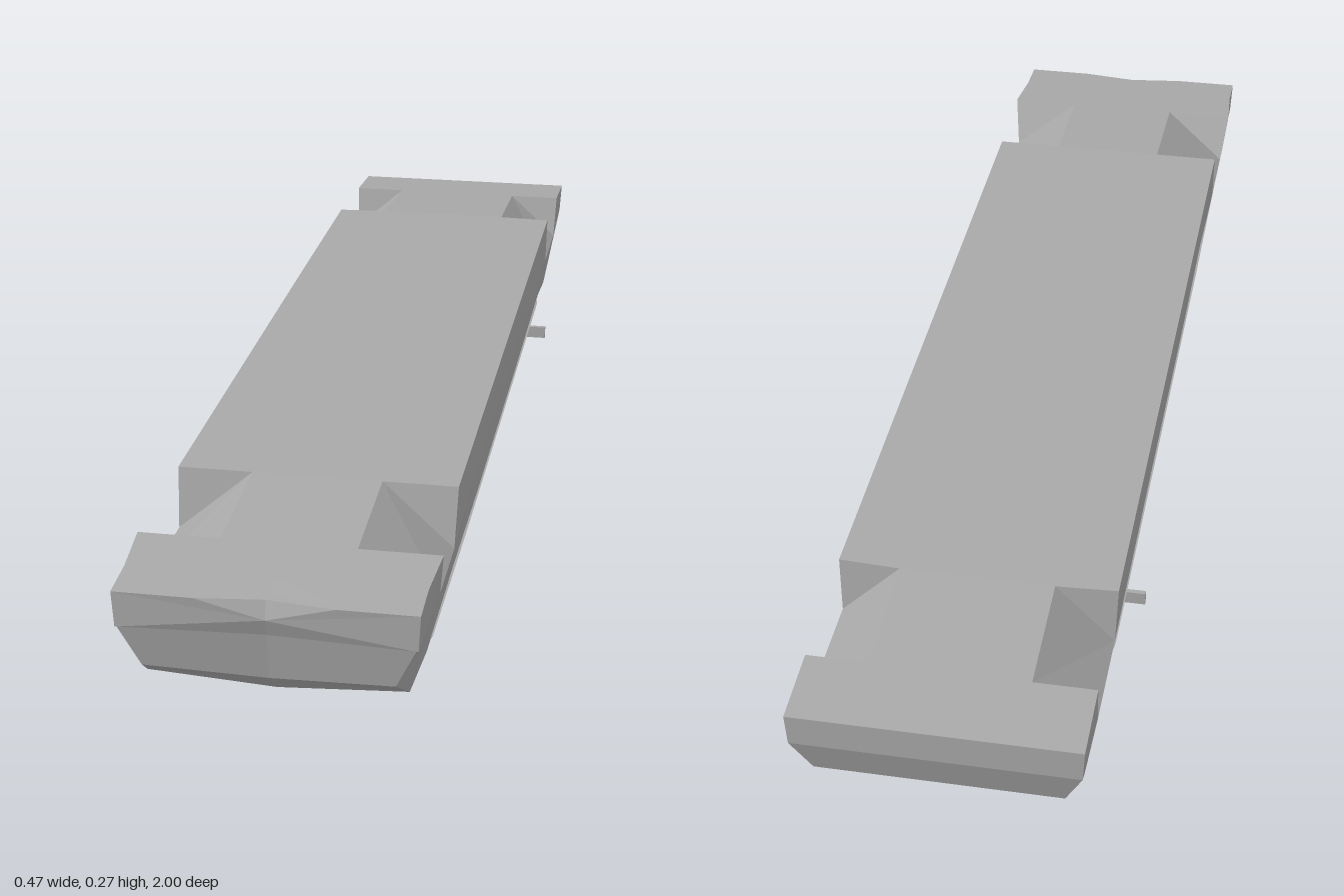
import * as THREE from 'three';

// Loft mirrored half profiles (bottom centre -> top centre), ordered from +z to -z
function loft(halves) {
  const rings = halves.map(half => [
    ...half,
    ...half.slice(1, -1).reverse().map(([x, y, z]) => [-x, y, z]),
  ].map(p => new THREE.Vector3(...p)));
  const n = rings[0].length;
  const pos = [];
  const tri = (a, b, c) => {
    const area = b.clone().sub(a).cross(c.clone().sub(a)).length();
    if (area > 1e-7) for (const p of [a, b, c]) pos.push(p.x, p.y, p.z);
  };
  for (let i = 0; i < rings.length - 1; i++) {
    const s = rings[i], t = rings[i + 1];
    for (let j = 0; j < n; j++) {
      const k = (j + 1) % n;
      // the diagonal is mirrored so both sides match
      if (j < n / 2) {
        tri(s[j], t[j], t[k]);
        tri(s[j], t[k], s[k]);
      } else {
        tri(s[j], t[j], s[k]);
        tri(s[k], t[j], t[k]);
      }
    }
  }
  const cap = (ring, flip) => {
    const c = new THREE.Vector3();
    ring.forEach(p => c.addScaledVector(p, 1 / n));
    ring.forEach((p, j) => {
      const q = ring[(j + 1) % n];
      if (flip) tri(c, q, p);
      else tri(c, p, q);
    });
  };
  cap(rings[0], false);
  cap(rings[rings.length - 1], true);
  const geo = new THREE.BufferGeometry();
  geo.setAttribute('position', new THREE.Float32BufferAttribute(pos, 3));
  geo.computeVertexNormals();
  return geo;
}

// One upper body section: outer z, deck z, bottom corner x and y, notch flag
function bodySection([zo, zi, xb, yb, notched]) {
  const end = Math.abs(zo);
  const deckY = 0.268 - 0.07 * Math.max(0, Math.abs(zi) - 0.66);
  const deckX = zi > 0 ? 0.1 : 0.12;
  const bow = zo > 0.95 ? -0.012 : 0;       // concave front edge
  const keel = zo > 0.9 && zo < 1 ? 0.011 : 0;
  const crease = [
    end < 0.4 ? 0.209 : 0.213,
    Math.max(yb, 0.175 + 0.1 * Math.max(0, end - 0.86)),
    zo,
  ];
  const topX = zo > 0.8 && zo < 0.9 ? 0.223 : 0.216;
  return [
    [0, yb - keel, zo + bow],
    [xb, yb, zo],
    crease,
    notched ? crease : [topX, deckY, zo],
    [deckX, deckY, zi],
    [0, deckY, zi + bow],
  ];
}

export function createModel() {
  const group = new THREE.Group();
  const grey = new THREE.MeshStandardMaterial({ color: 0xa8a8a8 });
  grey.name = 'plain grey';
  grey.flatShading = true;

  const add = (name, geo) => {
    const mesh = new THREE.Mesh(geo, grey);
    mesh.name = name;
    group.add(mesh);
    return mesh;
  };

  // Upper body with sloped notches at the four corners
  const body = [
    [1, 1, 0.21, 0.19, 0],
    [0.988, 0.988, 0.18, 0.126, 0],
    [0.93, 0.93, 0.19, 0.085, 0],
    [0.838, 0.838, 0.2, 0.1, 0],
    [0.8, 0.838, 0.2, 0.1, 1],
    [0.655, 0.635, 0.2, 0.1, 1],
    [0.635, 0.635, 0.2, 0.1, 0],
    [0.3, 0.3, 0.202, 0.103, 0],
    [-0.25, -0.25, 0.202, 0.103, 0],
    [-0.68, -0.685, 0.2, 0.1, 0],
    [-0.69, -0.685, 0.2, 0.1, 1],
    [-0.86, -0.88, 0.194, 0.065, 1],
    [-0.88, -0.88, 0.194, 0.067, 0],
    [-0.98, -0.98, 0.185, 0.13, 0],
    [-1, -1, 0.208, 0.193, 0],
  ];
  add('upperBody', loft(body.map(bodySection)));

  // Lower hull: bottom z, upper edge z, bottom centre y, bottom corner x, upper edge x
  const hull = [
    [0.82, 0.82, 0.098, 0.185, 0.2],
    [0.75, 0.8, 0.022, 0.14, 0.203],
    [0.46, 0.46, 0, 0.14, 0.205],
    [-0.51, -0.62, 0.002, 0.14, 0.205],
    [-0.66, -0.66, 0.095, 0.19, 0.2],
  ];
  add('lowerHull', loft(hull.map(([zb, ze, y, xb, xe]) => [
    [0, y, zb], [xb, Math.min(y + 0.008, 0.1), zb], [xe, 0.104, ze], [0, 0.11, ze],
  ])));

  // Small side tabs near the rear
  for (const side of [1, -1]) {
    const tab = add(side > 0 ? 'leftTab' : 'rightTab', new THREE.BoxGeometry(0.04, 0.022, 0.008));
    tab.position.set(side * 0.215, 0.092, -0.492);
  }
  return group;
}
